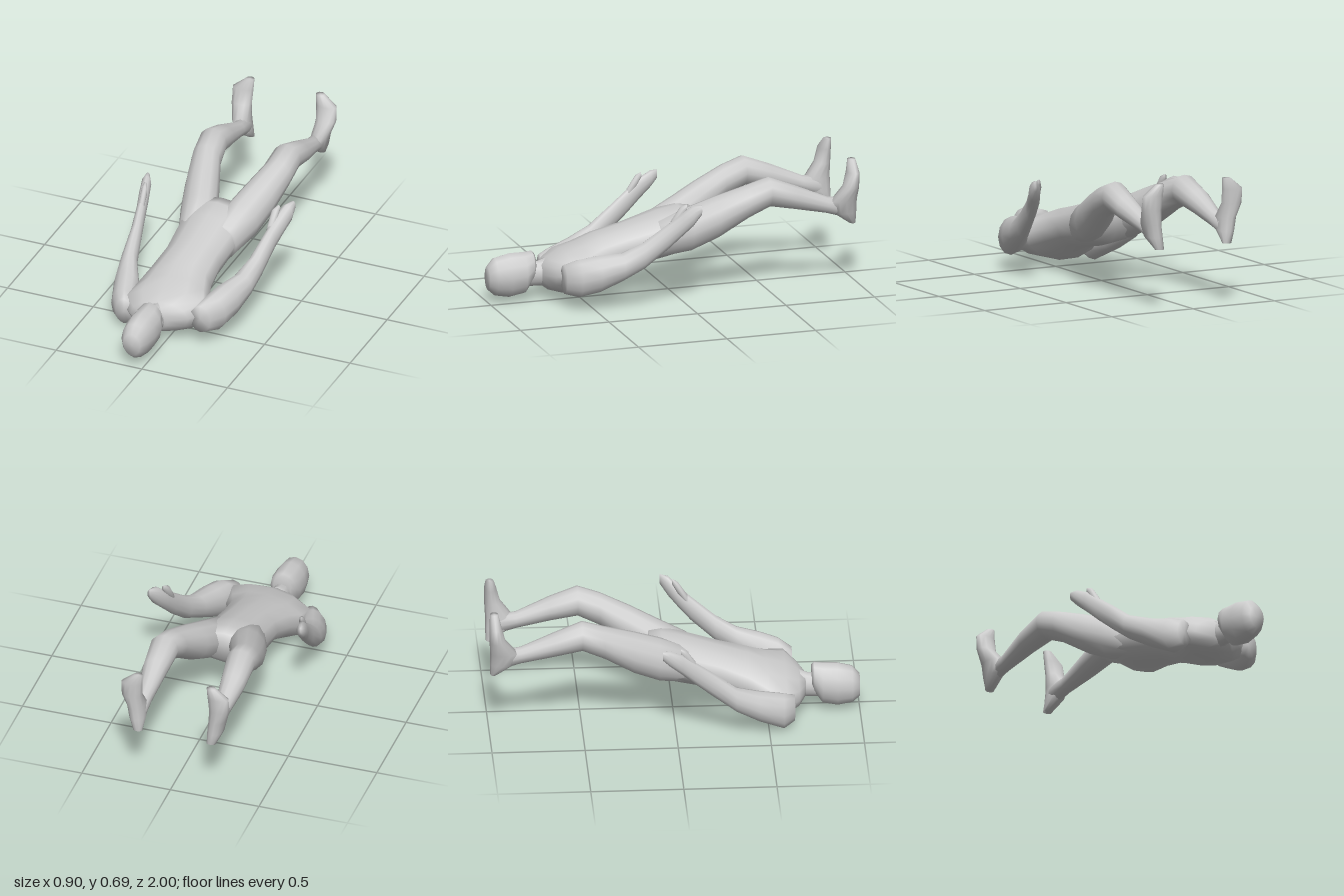
import * as THREE from 'three';

const material = new THREE.MeshStandardMaterial({ color: 0xcccccc });
const SIDES = 12;

// Closed skin over elliptical rings: [position on axis, x, other, radius x, radius other, roll].
// Axis 'z' stacks rings in the xy plane, axis 'y' stacks rings in the xz plane.
function loft(name, rings, axis = 'z') {
  const sorted = [...rings].sort((a, b) => a[0] - b[0]);
  const points = [], index = [];
  const put = (s, u, v) => {
    const roll = s[5] || 0;
    const x = s[1] + u * Math.cos(roll) - v * Math.sin(roll);
    const w = u * Math.sin(roll) + v * Math.cos(roll);
    if (axis === 'z') points.push(x, s[2] + w, s[0]);
    else points.push(x, s[0], s[2] - w);
  };
  for (const s of sorted) {
    for (let j = 0; j < SIDES; j++) {
      const a = (j / SIDES) * Math.PI * 2;
      put(s, s[3] * Math.cos(a), s[4] * Math.sin(a));
    }
  }
  const last = sorted.length - 1;
  const startCap = sorted.length * SIDES, endCap = startCap + 1;
  put(sorted[0], 0, 0);
  put(sorted[last], 0, 0);
  for (let j = 0; j < SIDES; j++) {
    const k = (j + 1) % SIDES;
    for (let i = 0; i < last; i++) {
      const a = i * SIDES, b = a + SIDES;
      index.push(a + j, a + k, b + k, a + j, b + k, b + j);
    }
    index.push(startCap, k, j, endCap, last * SIDES + j, last * SIDES + k);
  }
  const geometry = new THREE.BufferGeometry();
  geometry.setAttribute('position', new THREE.Float32BufferAttribute(points, 3));
  geometry.setIndex(index);
  geometry.computeVertexNormals();
  const mesh = new THREE.Mesh(geometry, material);
  mesh.name = name;
  return mesh;
}

export function createModel() {
  const model = new THREE.Group();
  model.name = 'recliningFigure';

  // Head, crown towards +z and face up
  model.add(loft('head', [
    [1.0, -0.06, 0.135, 0.05, 0.065],
    [0.96, -0.06, 0.14, 0.076, 0.105],
    [0.88, -0.058, 0.142, 0.087, 0.122],
    [0.8, -0.055, 0.15, 0.085, 0.115],
    [0.755, -0.055, 0.185, 0.07, 0.083],
    [0.742, -0.055, 0.195, 0.05, 0.06],
  ]));

  // Neck
  model.add(loft('neck', [
    [0.82, -0.055, 0.14, 0.05, 0.07],
    [0.72, -0.05, 0.14, 0.052, 0.068],
    [0.64, -0.045, 0.15, 0.075, 0.09],
  ]));

  // Torso, rolled slightly towards its right shoulder
  model.add(loft('torso', [
    [0.71, -0.045, 0.14, 0.07, 0.06, 0.1],
    [0.67, -0.04, 0.14, 0.17, 0.09, 0.13],
    [0.6, -0.03, 0.152, 0.26, 0.122, 0.13],
    [0.5, -0.04, 0.167, 0.225, 0.135, 0.13],
    [0.4, -0.04, 0.21, 0.185, 0.132, 0.1],
    [0.25, -0.03, 0.26, 0.165, 0.12, 0.05],
    [0.05, -0.025, 0.31, 0.175, 0.13],
    [-0.06, -0.02, 0.335, 0.2, 0.125],
    [-0.13, -0.015, 0.365, 0.18, 0.085],
  ]));

  // Legs with bent knees and feet turned out, mirrored about the hip centre
  const legRings = [
    [0.08, 0.09, 0.305, 0.08, 0.1],
    [-0.08, 0.118, 0.355, 0.107, 0.12],
    [-0.22, 0.16, 0.42, 0.1, 0.115],
    [-0.38, 0.205, 0.505, 0.084, 0.09],
    [-0.5, 0.215, 0.552, 0.08, 0.081],
    [-0.65, 0.22, 0.508, 0.068, 0.066],
    [-0.83, 0.215, 0.448, 0.042, 0.046],
    [-0.93, 0.215, 0.425, 0.04, 0.055],
  ];
  const footRings = [
    [0.335, 0.207, -0.975, 0.026, 0.018],
    [0.4, 0.22, -0.93, 0.045, 0.065],
    [0.47, 0.23, -0.92, 0.05, 0.075],
    [0.55, 0.246, -0.956, 0.058, 0.043],
    [0.63, 0.243, -0.967, 0.06, 0.033],
    [0.69, 0.205, -0.972, 0.024, 0.022],
  ];
  for (const [side, sign] of [['left', 1], ['right', -1]]) {
    const place = (r) => [r[0], sign * r[1] - 0.015, ...r.slice(2)];
    model.add(loft(side + 'Leg', legRings.map(place)));
    model.add(loft(side + 'Foot', footRings.map(place), 'y'));
  }

  // Right arm, shoulder to fingertips
  model.add(loft('rightArm', [
    [0.64, -0.26, 0.105, 0.05, 0.075],
    [0.58, -0.285, 0.1, 0.075, 0.1],
    [0.45, -0.325, 0.15, 0.075, 0.085],
    [0.32, -0.368, 0.215, 0.048, 0.07],
    [0.2, -0.38, 0.31, 0.033, 0.07],
    [0.1, -0.395, 0.39, 0.028, 0.065],
    [0.03, -0.408, 0.45, 0.03, 0.06],
    [-0.04, -0.422, 0.495, 0.028, 0.045],
    [-0.078, -0.43, 0.515, 0.013, 0.025],
  ]));
  model.add(loft('rightThumb', [
    [0.1, -0.392, 0.43, 0.016, 0.03],
    [0.05, -0.397, 0.495, 0.018, 0.035],
    [0.02, -0.402, 0.525, 0.01, 0.016],
  ]));

  // Left arm, shoulder to fingertips
  model.add(loft('leftArm', [
    [0.65, 0.19, 0.165, 0.06, 0.08],
    [0.58, 0.23, 0.175, 0.08, 0.105],
    [0.48, 0.262, 0.2, 0.082, 0.102],
    [0.36, 0.305, 0.24, 0.062, 0.076],
    [0.25, 0.335, 0.3, 0.045, 0.074],
    [0.12, 0.365, 0.405, 0.035, 0.07],
    [0.05, 0.388, 0.47, 0.038, 0.062],
    [0.0, 0.412, 0.52, 0.036, 0.058],
    [-0.045, 0.432, 0.555, 0.014, 0.028],
  ]));
  model.add(loft('leftThumb', [
    [0.1, 0.36, 0.46, 0.02, 0.03],
    [0.05, 0.364, 0.53, 0.022, 0.035],
    [0.02, 0.375, 0.562, 0.011, 0.017],
  ]));

  return model;
}
